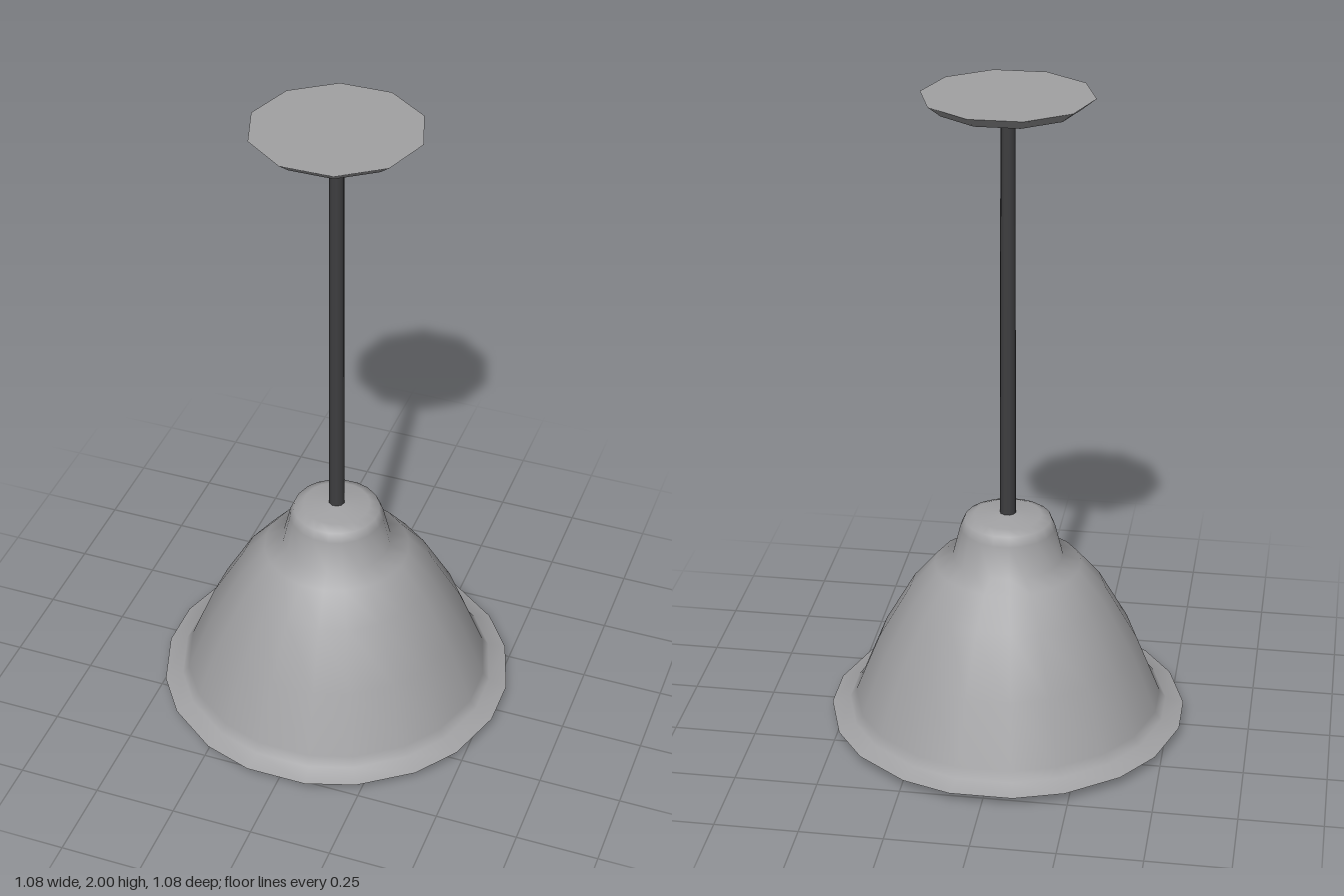
import * as THREE from 'three';

const shadeGrey = new THREE.MeshStandardMaterial({ color: 0xa1a1a3 });
shadeGrey.name = 'brushed grey';
const rodGrey = new THREE.MeshStandardMaterial({ color: 0x3e3e40 });
rodGrey.name = 'dark grey';

function lathe(name, profile, sides, start, material) {
  const points = profile.map(([r, y]) => new THREE.Vector2(r, y));
  const mesh = new THREE.Mesh(new THREE.LatheGeometry(points, sides, start), material);
  mesh.name = name;
  return mesh;
}

// Twenty-sided ring with alternating long and short sides
function shadeRing(name, profile) {
  const sides = 20, step = (Math.PI * 2) / sides;
  const mesh = lathe(name, profile.map(([r, y]) => [r * 1.013, y]), sides, step / 2, shadeGrey);
  const pos = mesh.geometry.attributes.position;
  for (let i = 0; i < pos.count; i++) {
    const ring = Math.floor(i / profile.length);
    const turn = (ring % 2 ? -1 : 1) * 0.015;
    const x = pos.getX(i), z = pos.getZ(i);
    pos.setX(i, x * Math.cos(turn) + z * Math.sin(turn));
    pos.setZ(i, z * Math.cos(turn) - x * Math.sin(turn));
  }
  return mesh;
}

export function createModel() {
  const lamp = new THREE.Group();
  lamp.name = 'pendantLamp';

  // Ceiling plate
  const plate = new THREE.Group();
  plate.name = 'ceilingPlate';
  plate.add(
    lathe('plateUnderside', [[0, 1.954], [0.165, 1.957], [0.21, 1.968], [0.25, 2]], 10, Math.PI / 2, shadeGrey),
    lathe('plateTop', [[0.25, 2], [0, 2]], 10, Math.PI / 2, shadeGrey)
  );

  // Hanging rod, slightly wider towards the bulb it carries
  const rod = new THREE.Mesh(
    new THREE.CylinderGeometry(0.0215, 0.025, 1.59, 10, 1, false, Math.PI / 2), rodGrey);
  rod.name = 'rod';
  rod.position.y = 1.175;

  // Bell shade: outer skin, and an inner skin that rolls into the rim
  const outer = [
    [0.54, 0.035], [0.485, 0.053], [0.465, 0.08], [0.39, 0.27], [0.295, 0.44],
    [0.22, 0.53], [0.165, 0.555], [0.142, 0.65], [0.13, 0.678], [0.1, 0.69], [0, 0.7]
  ];
  const inner = outer.slice(2).reverse().map(([r, y]) => [Math.max(0, r - 0.012), y - 0.012]);
  inner.push([0.468, 0.012], [0.488, 0.002], [0.54, 0.035]);
  const shade = new THREE.Group();
  shade.name = 'shade';
  shade.add(shadeRing('shadeOuter', outer), shadeRing('shadeInner', inner));

  // Round bulb
  const bulb = new THREE.Mesh(new THREE.SphereGeometry(0.157, 12, 8), shadeGrey);
  bulb.name = 'bulb';
  bulb.position.y = 0.24;

  lamp.add(plate, rod, shade, bulb);
  return lamp;
}
